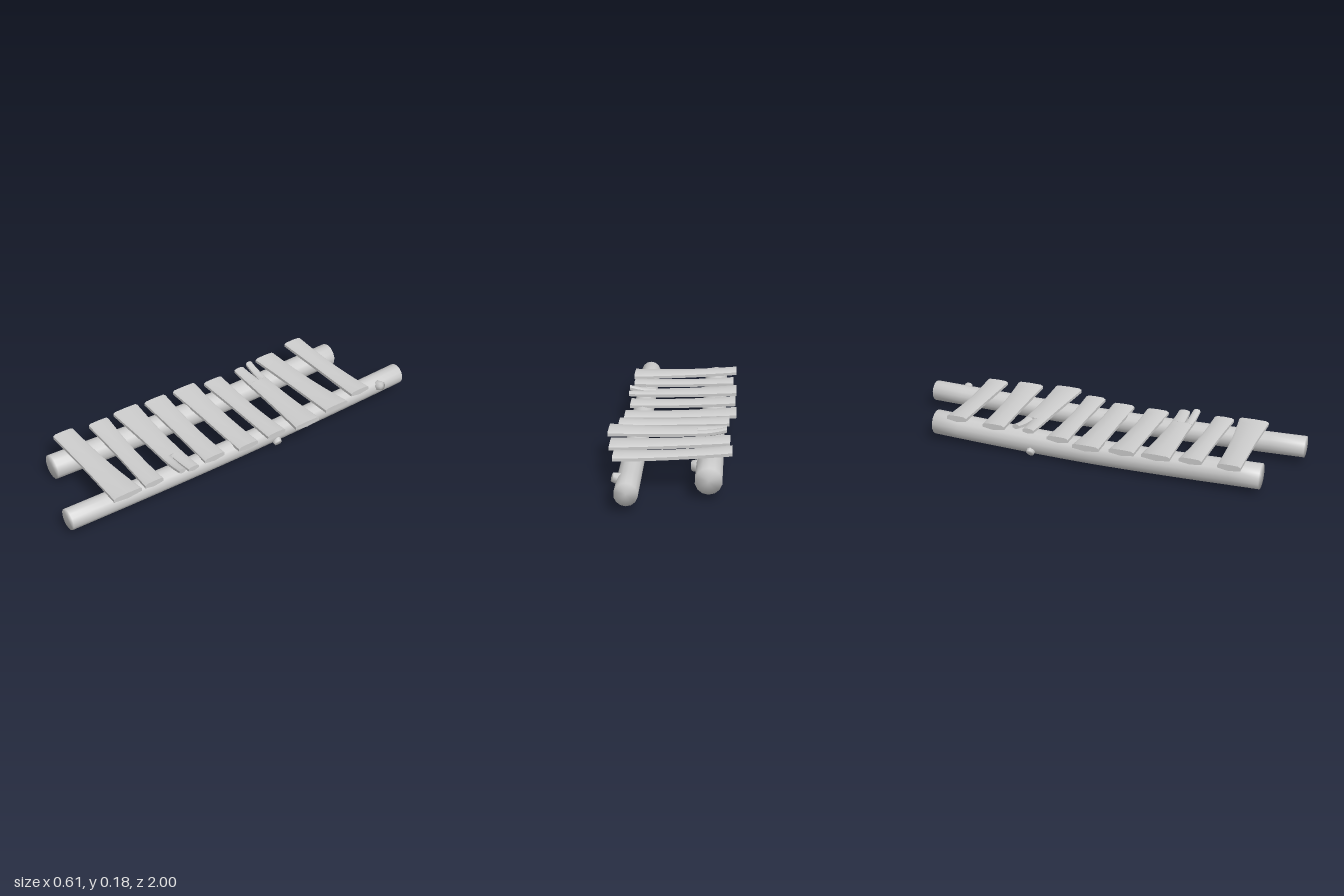
import * as THREE from 'three';
import { mergeVertices, toCreasedNormals } from 'three/addons/utils/BufferGeometryUtils.js';

const material = new THREE.MeshStandardMaterial({ color: 0xcccccc });
const lerp = THREE.MathUtils.lerp;

function addMesh(parent, name, geometry) {
  const mesh = new THREE.Mesh(geometry, material);
  mesh.name = name;
  parent.add(mesh);
  return mesh;
}

// Weld all corners so the shading runs softly over the rims
function soften(geometry) {
  geometry.deleteAttribute('uv');
  geometry.deleteAttribute('normal');
  const welded = mergeVertices(geometry, 1e-4);
  welded.computeVertexNormals();
  return welded;
}

// Sagging log lying along z, drifting sideways from back to front
function logGeometry({ radius, zBack, zFront, xBack, xFront, yMid, yEnd }) {
  const length = zFront - zBack;
  const geometry = new THREE.CylinderGeometry(radius, radius, length, 14, 12);
  geometry.rotateX(Math.PI / 2);
  geometry.translate(0, 0, (zBack + zFront) / 2);
  const p = geometry.attributes.position;
  for (let i = 0; i < p.count; i++) {
    const z = p.getZ(i);
    const u = z / (length / 2);
    p.setX(i, p.getX(i) + lerp(xBack, xFront, (z - zBack) / length));
    p.setY(i, p.getY(i) + yMid + (yEnd - yMid) * Math.min(1, Math.abs(u) ** 1.6));
  }
  return soften(geometry);
}

// Stub of a cut branch, pointing out of the log
function addKnot(parent, position, direction, radius) {
  const geometry = soften(new THREE.CylinderGeometry(radius * 0.7, radius, 0.05, 8));
  const knot = addMesh(parent, 'branchStub', geometry);
  knot.position.set(...position);
  knot.quaternion.setFromUnitVectors(
    new THREE.Vector3(0, 1, 0), new THREE.Vector3(...direction).normalize());
}

// Loft a bevelled board along x; shape(x) gives centre height, half thickness and z limits
function boardGeometry(x0, x1, steps, shape) {
  const positions = [];
  const indices = [];
  const sides = 8;
  for (let i = 0; i <= steps; i++) {
    const x = lerp(x0, x1, i / steps);
    const { y, h, zA, zB } = shape(x);
    const bevel = Math.min(0.012, (zB - zA) * 0.2);
    const ring = [
      [zA, -h * 0.45], [zA, h * 0.45], [zA + bevel, h * 0.9], [(zA + zB) / 2, h],
      [zB - bevel, h * 0.9], [zB, h * 0.45], [zB, -h * 0.45], [(zA + zB) / 2, -h],
    ];
    for (const [z, dy] of ring) positions.push(x, y + dy, z);
  }
  for (let i = 0; i < steps; i++) {
    for (let j = 0; j < sides; j++) {
      const a = i * sides + j, b = i * sides + (j + 1) % sides;
      indices.push(a, b, a + sides, b, b + sides, a + sides);
    }
  }
  const last = steps * sides;
  for (let j = 1; j < sides - 1; j++) {
    indices.push(0, j + 1, j, last, last + j, last + j + 1);
  }
  // Rings run from back over the top to the front, so flip to face outward
  for (let i = 0; i < indices.length; i += 3) {
    [indices[i + 1], indices[i + 2]] = [indices[i + 2], indices[i + 1]];
  }
  const geometry = new THREE.BufferGeometry();
  geometry.setAttribute('position', new THREE.Float32BufferAttribute(positions, 3));
  geometry.setIndex(indices);
  // Check the winding with the signed volume
  let volume = 0;
  const v = (k) => new THREE.Vector3().fromArray(positions, k * 3);
  for (let i = 0; i < indices.length; i += 3) {
    volume += v(indices[i]).dot(v(indices[i + 1]).cross(v(indices[i + 2])));
  }
  if (volume < 0) geometry.setIndex(indices.reverse());
  return toCreasedNormals(geometry, 0.6);
}

// Each end of a plank: [x, back z, front z, centre height]
const planks = [
  { a: [-0.285, -0.71, -0.605, 0.168], b: [0.25, -0.735, -0.62, 0.144] },
  { a: [-0.275, -0.52, -0.405, 0.151], b: [0.28, -0.57, -0.43, 0.139] },
  { a: [-0.26, -0.365, -0.255, 0.148], b: [0.305, -0.365, -0.22, 0.139], split: -0.12, lift: 0.018 },
  { a: [-0.27, -0.18, -0.07, 0.137], b: [0.27, -0.18, -0.075, 0.124] },
  { a: [-0.305, -0.035, 0.10, 0.134], b: [0.255, -0.025, 0.09, 0.113] },
  { a: [-0.30, 0.15, 0.275, 0.140], b: [0.24, 0.165, 0.28, 0.119] },
  { a: [-0.305, 0.315, 0.455, 0.147], b: [0.26, 0.33, 0.44, 0.128], split: 0.12, lift: 0.018 },
  { a: [-0.29, 0.495, 0.605, 0.149], b: [0.245, 0.52, 0.62, 0.131] },
  { a: [-0.305, 0.685, 0.795, 0.157], b: [0.255, 0.645, 0.795, 0.138] },
];

function addPlank(parent, { a, b, split, lift }) {
  const plank = new THREE.Group();
  plank.name = 'plank';
  parent.add(plank);
  const body = (x) => {
    const t = (x - a[0]) / (b[0] - a[0]);
    const pinch = 0.007 * Math.sin(Math.PI * t);
    return {
      y: b[3] + (a[3] - b[3]) * Math.max(0, 1 - t) ** 1.6 - 0.003 * Math.sin(Math.PI * t),
      h: 0.016,
      zA: lerp(a[1], b[1], t) + pinch,
      zB: lerp(a[2], b[2], t) - pinch,
    };
  };
  if (split === undefined) {
    addMesh(plank, 'board', boardGeometry(a[0], b[0], 10, body));
    return;
  }
  // Cracked plank: whole body, then two prongs parting toward the tip
  const left = split < 0;
  const tip = left ? a[0] : b[0];
  addMesh(plank, 'board', left
    ? boardGeometry(split, b[0], 8, body) : boardGeometry(a[0], split, 8, body));
  const crack = left ? 0.4 : 0.6;
  for (const back of [true, false]) {
    const prong = (x) => {
      const s = body(x);
      const u = (x - split) / (tip - split);
      const mid = lerp(s.zA, s.zB, crack);
      const gap = 0.009 * u;
      const raised = back === left;
      return {
        y: s.y + (raised ? lift : 0.004) * u * u,
        h: s.h * (1 - 0.15 * u),
        zA: back ? s.zA : mid + gap,
        zB: back ? mid - gap : s.zB,
      };
    };
    addMesh(plank, 'prong', boardGeometry(Math.min(split, tip), Math.max(split, tip), 4, prong));
  }
}

export function createModel() {
  const model = new THREE.Group();
  model.name = 'plankWalkway';

  // Supporting logs
  addMesh(model, 'longLog', logGeometry({
    radius: 0.053, zBack: -1, zFront: 1, xBack: 0.168, xFront: 0.183, yMid: 0.065, yEnd: 0.083 }));
  addMesh(model, 'shortLog', logGeometry({
    radius: 0.062, zBack: -0.82, zFront: 0.87, xBack: -0.182, xFront: -0.194, yMid: 0.063, yEnd: 0.083 }));

  // Branch stubs
  addKnot(model, [0.215, 0.097, -0.84], [1, 0.35, -0.2], 0.031);
  addKnot(model, [0.211, 0.042, -0.17], [1, -0.45, 0.1], 0.03);
  addKnot(model, [-0.126, 0.065, -0.57], [1, -0.1, 0.2], 0.035);
  addKnot(model, [-0.228, 0.04, -0.28], [-1, -0.5, 0], 0.029);

  // Planks laid across
  for (const plank of planks) addPlank(model, plank);
  return model;
}
